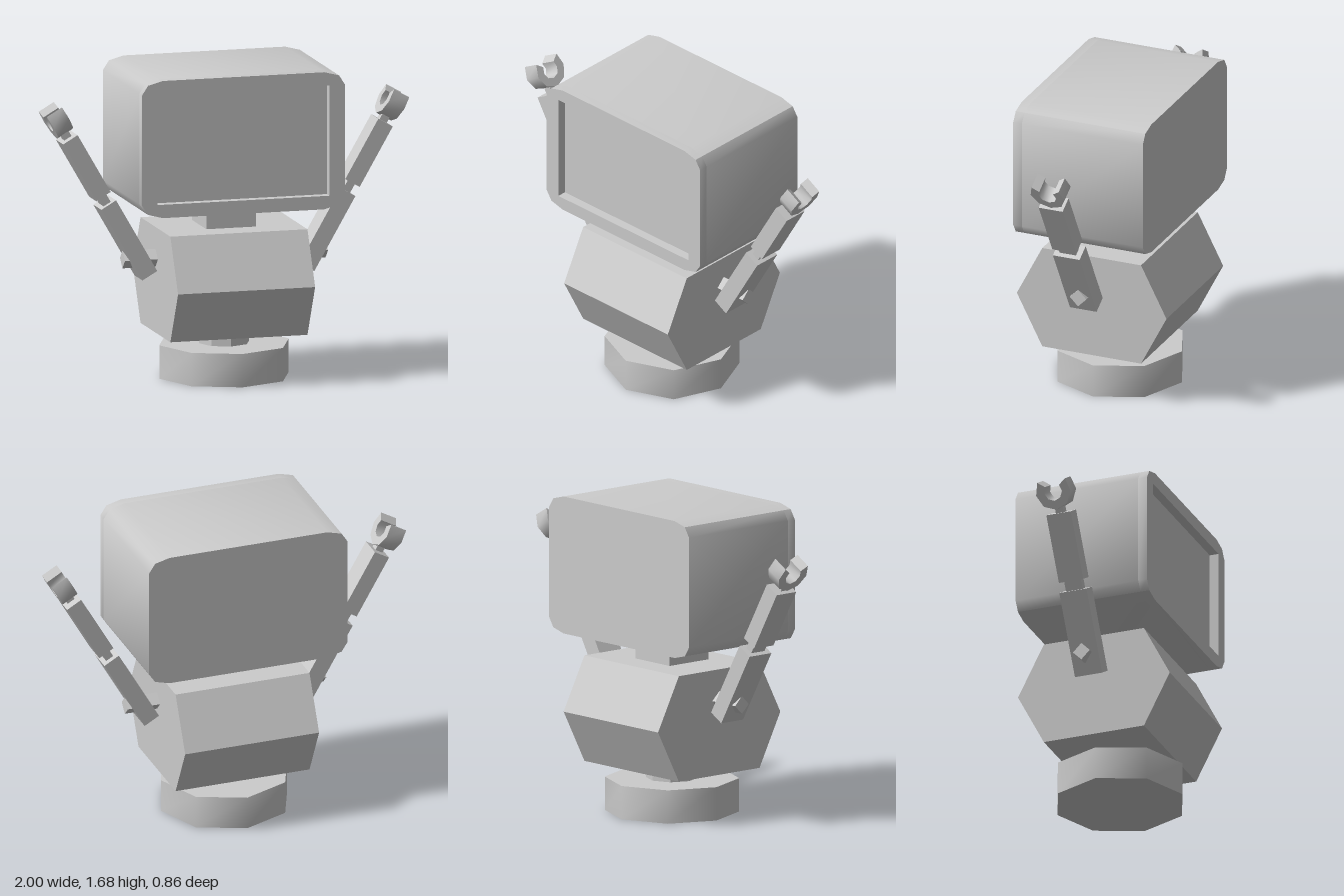
import * as THREE from 'three';
import { toCreasedNormals } from 'three/addons/utils/BufferGeometryUtils.js';

const smooth = new THREE.MeshStandardMaterial({ color: 0xcccccc });
const flat = new THREE.MeshStandardMaterial({ color: 0xcccccc, flatShading: true });

function add(parent, name, geometry, material, x = 0, y = 0, z = 0) {
  const mesh = new THREE.Mesh(geometry, material);
  mesh.name = name;
  mesh.position.set(x, y, z);
  parent.add(mesh);
  return mesh;
}

const polygon = (points) => new THREE.Shape(points.map(([x, y]) => new THREE.Vector2(x, y)));

function extrude(shape, depth, crease) {
  const g = new THREE.ExtrudeGeometry(shape, { depth, bevelEnabled: false });
  return toCreasedNormals(g, crease);
}

// Rectangle with each corner cut by two facets of a stretched quarter circle
function headOutline(w, h, rx, ry) {
  const points = [];
  [[1, 1], [-1, 1], [-1, -1], [1, -1]].forEach(([sx, sy], i) => {
    for (let k = 0; k < 3; k++) {
      const a = (i + k / 2) * Math.PI / 2;
      points.push([sx * (w - rx) + rx * Math.cos(a), sy * (h - ry) + ry * Math.sin(a)]);
    }
  });
  return polygon(points);
}

// C-shaped gripper, open towards +y, its thickness along x
function clawGeometry(outer, inner, thickness) {
  const points = [];
  const tip = THREE.MathUtils.degToRad(37);
  const sweep = Math.PI + 2 * tip;
  for (let i = 0; i <= 6; i++) {
    const a = tip - sweep * i / 6;
    points.push([outer * Math.cos(a), outer * Math.sin(a)]);
  }
  for (let i = 6; i >= 0; i--) {
    const a = tip - sweep * i / 6;
    points.push([inner * Math.cos(a), inner * Math.sin(a)]);
  }
  return extrude(polygon(points), thickness, 0.9)
    .translate(0, 0, -thickness / 2)
    .rotateY(Math.PI / 2);
}

function createArm(side) {
  const arm = new THREE.Group();
  arm.name = side > 0 ? 'leftArm' : 'rightArm';

  // Four-sided shoulder peg
  const peg = new THREE.CylinderGeometry(0.048, 0.048, 0.19, 4).rotateZ(Math.PI / 2);
  add(arm, 'shoulderPeg', peg, flat, side * 0.465, 0.654);

  // Raised limb, measured along its own y axis
  const limb = new THREE.Group();
  limb.name = 'limb';
  limb.position.set(side * 0.433, 0.575, 0);
  limb.rotation.z = -side * Math.PI / 6;
  const box = (name, w, d, from, to) =>
    add(limb, name, new THREE.BoxGeometry(w, to - from, d), flat, 0, (from + to) / 2, 0.007);
  box('upperArm', 0.094, 0.154, 0, 0.454);
  box('elbow', 0.045, 0.094, 0.44, 0.52);
  box('forearm', 0.092, 0.138, 0.507, 0.872);
  box('wrist', 0.045, 0.045, 0.86, 0.91);
  add(limb, 'claw', clawGeometry(0.098, 0.05, 0.096), smooth, 0, 0.991, 0);
  arm.add(limb);
  return arm;
}

export function createModel() {
  const model = new THREE.Group();
  model.name = 'robot';

  // Base and waist
  const base = toCreasedNormals(new THREE.CylinderGeometry(0.357, 0.357, 0.18, 8), 0.9);
  add(model, 'base', base, smooth, 0, 0.09);
  add(model, 'waist', new THREE.CylinderGeometry(0.138, 0.138, 0.1, 8), flat, 0, 0.215);

  // Hexagonal torso lying along x
  const hexagon = polygon([
    [0.432, 0], [0.285, 0.285], [-0.285, 0.285], [-0.432, 0], [-0.285, -0.285], [0.285, -0.285],
  ]);
  const torso = extrude(hexagon, 0.756, 0.3).translate(0, 0, -0.378).rotateY(Math.PI / 2);
  add(model, 'torso', torso, flat, 0, 0.535);
  add(model, 'neck', new THREE.BoxGeometry(0.274, 0.16, 0.274), flat, 0, 0.88);

  // Head block with a bezel around the sunken screen
  const recess = 0.05;
  const head = new THREE.Group();
  head.name = 'head';
  head.position.y = 1.31;
  const outline = () => headOutline(0.56, 0.37, 0.115, 0.073);
  add(head, 'headShell', extrude(outline(), 0.748 - recess, 0.66), smooth, 0, 0, -0.374);
  const bezel = outline();
  bezel.holes.push(polygon([[-0.475, -0.298], [-0.475, 0.298], [0.475, 0.298], [0.475, -0.298]]));
  add(head, 'screenBezel', extrude(bezel, recess, 0.66), smooth, 0, 0, 0.374 - recess);
  model.add(head);

  for (const side of [1, -1]) model.add(createArm(side));
  return model;
}
